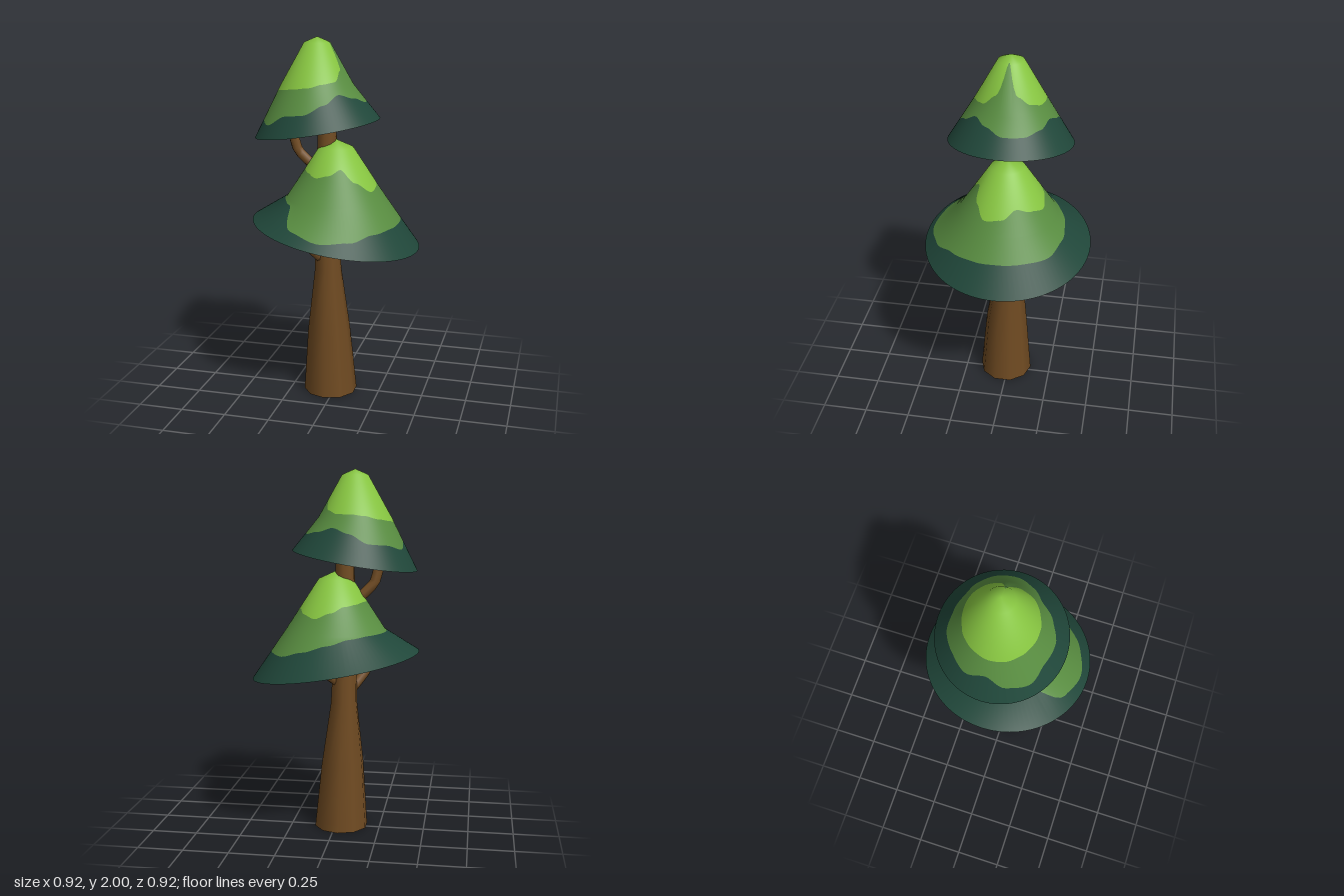
import * as THREE from 'three';

const SEG = 96;
const mat = (name, color) => {
  const m = new THREE.MeshStandardMaterial({ color });
  m.name = name;
  return m;
};

// Smooth closed lookup of a border radius by angle (16 samples per turn, starting at +x towards +z)
function around(table, a) {
  const n = table.length, f = (a / (2 * Math.PI)) * n, i = Math.floor(f), u = f - i;
  const s = u * u * (3 - 2 * u);
  return table[((i % n) + n) % n] * (1 - s) + table[(((i + 1) % n) + n) % n] * s;
}

// Point on a crown whose rings are [radius, height, tilt]
function crownPoint(rings, cx, a, r) {
  let k = 1;
  while (k < rings.length - 1 && r > rings[k][0]) k++;
  const [r0, y0, t0] = rings[k - 1], [r1, y1, t1] = rings[k];
  const u = (r - r0) / (r1 - r0), c = Math.cos(a);
  return new THREE.Vector3(cx + c * r, y0 + (y1 - y0) * u + (t0 + (t1 - t0) * u) * c, Math.sin(a) * r);
}

// Softened outward normal
function crownNormal(rings, cx, a, r) {
  if (r < 0.01) return new THREE.Vector3(0, 1, 0);
  const rim = rings[rings.length - 1][0];
  const dr = crownPoint(rings, cx, a, Math.min(rim, r + 0.03)).sub(crownPoint(rings, cx, a, Math.max(0, r - 0.03)));
  const da = crownPoint(rings, cx, a + 0.05, r).sub(crownPoint(rings, cx, a - 0.05, r));
  return da.cross(dr).normalize();
}

// One colour band of a crown between two wavy borders
function bandGeometry(rings, cx, inner, outer) {
  const pos = [], nor = [], idx = [], rows = rings.length;
  for (let i = 0; i <= SEG; i++) {
    const a = (i / SEG) * Math.PI * 2, lo = inner(a), hi = outer(a);
    const radii = [lo, ...rings.slice(1, -1).map(q => Math.min(hi, Math.max(lo, q[0]))), hi];
    for (const r of radii) {
      pos.push(...crownPoint(rings, cx, a, r).toArray());
      nor.push(...crownNormal(rings, cx, a, r).toArray());
    }
  }
  for (let i = 0; i < SEG; i++) {
    for (let j = 0; j < rows - 1; j++) {
      const p = i * rows + j, q = p + rows;
      idx.push(p, q, p + 1, q, q + 1, p + 1);
    }
  }
  const g = new THREE.BufferGeometry();
  g.setAttribute('position', new THREE.Float32BufferAttribute(pos, 3));
  g.setAttribute('normal', new THREE.Float32BufferAttribute(nor, 3));
  g.setIndex(idx);
  return g;
}

// Flat tilted underside of a crown
function undersideGeometry(rings, cx) {
  const [rim, y] = rings[rings.length - 1];
  const pos = [cx, y, 0], idx = [];
  for (let i = 0; i <= SEG; i++) {
    pos.push(...crownPoint(rings, cx, (i / SEG) * Math.PI * 2, rim).toArray());
    if (i < SEG) idx.push(0, i + 1, i + 2);
  }
  const g = new THREE.BufferGeometry();
  g.setAttribute('position', new THREE.Float32BufferAttribute(pos, 3));
  g.setIndex(idx);
  g.computeVertexNormals();
  return g;
}

export function createModel() {
  const tree = new THREE.Group();
  tree.name = 'tree';
  const bark = mat('bark brown', 0x734d23);
  const lime = mat('lime leaf', 0x86c440);
  const mid = mat('mid green leaf', 0x588c40);
  const dark = mat('dark green leaf', 0x20473a);

  const add = (parent, name, geometry, material) => {
    const m = new THREE.Mesh(geometry, material);
    m.name = name;
    parent.add(m);
  };

  // Trunk: flared base narrowing to a thin stem; rows are [y, x, z, radius]
  const stem = [
    [0, -0.03, 0.015, 0.15], [0.36, -0.038, 0.013, 0.12], [0.72, -0.047, 0, 0.074],
    [0.95, -0.05, 0, 0.066], [1.6, -0.052, 0, 0.049],
  ];
  const trunk = new THREE.CylinderGeometry(1, 1, 1, 10, stem.length - 1, true);
  const p = trunk.attributes.position;
  for (let i = 0; i < p.count; i++) {
    const [y, x, z, r] = stem[Math.round((p.getY(i) + 0.5) * (stem.length - 1))];
    p.setXYZ(i, x + p.getX(i) * r, y, z + p.getZ(i) * r);
  }
  const seamless = trunk.attributes.normal.clone();
  trunk.computeVertexNormals();
  trunk.setAttribute('normal', seamless);
  add(tree, 'trunk', trunk, bark);
  const base = new THREE.CircleGeometry(0.15, 10, Math.PI / 2);
  base.rotateX(Math.PI / 2).translate(-0.03, 0, 0.015);
  add(tree, 'trunkBase', base, bark);

  // Branches: bent limbs running up into the crowns
  const branches = {
    lowerRightBranch: [[-0.05, 0.75, 0.01], [-0.115, 0.83, 0.06], [-0.17, 0.91, 0.1], [-0.18, 1.06, 0.11]],
    lowerLeftBranch: [[-0.04, 0.82, -0.01], [0.03, 0.88, -0.05], [0.08, 0.93, -0.08], [0.12, 1.0, -0.1]],
    upperRightBranch: [[-0.06, 1.25, 0], [-0.13, 1.31, 0.01], [-0.21, 1.39, 0.02], [-0.25, 1.54, 0.03]],
  };
  for (const [name, pts] of Object.entries(branches)) {
    const curve = new THREE.CatmullRomCurve3(pts.map(q => new THREE.Vector3(...q)), false, 'catmullrom', 0.2);
    add(tree, name, new THREE.TubeGeometry(curve, 10, 0.028, 8), bark);
  }

  // Crowns: tilted cones in three wavy leaf colours
  const crowns = [
    {
      name: 'lowerCrown', cx: 0,
      rings: [[0, 1.455, 0], [0.093, 1.412, 0], [0.273, 1.135, 0], [0.46, 0.94, -0.08]],
      limeEdge: [.225, .235, .2, .155, .175, .185, .175, .17, .17, .17, .175, .18, .2, .22, .21, .195],
      darkEdge: [.355, .36, .37, .4, .42, .4, .29, .28, .28, .28, .28, .29, .315, .34, .36, .355],
    },
    {
      name: 'upperCrown', cx: -0.105,
      rings: [[0, 2, 0], [0.07, 1.97, 0], [0.197, 1.745, 0], [0.339, 1.515, 0.055]],
      limeEdge: [.055, .15, .18, .185, .195, .2, .205, .21, .21, .205, .2, .19, .185, .185, .175, .15],
      darkEdge: [.265, .24, .22, .25, .275, .275, .3, .29, .26, .28, .27, .27, .245, .23, .25, .265],
    },
  ];
  for (const { name, cx, rings, limeEdge, darkEdge } of crowns) {
    const crown = new THREE.Group();
    crown.name = name;
    const rim = rings[rings.length - 1][0];
    const edges = [() => 0, a => around(limeEdge, a), a => around(darkEdge, a), () => rim];
    [['Top', lime], ['Middle', mid], ['Skirt', dark]].forEach(([part, material], i) =>
      add(crown, name + part, bandGeometry(rings, cx, edges[i], edges[i + 1]), material));
    add(crown, name + 'Underside', undersideGeometry(rings, cx), dark);
    tree.add(crown);
  }
  return tree;
}
